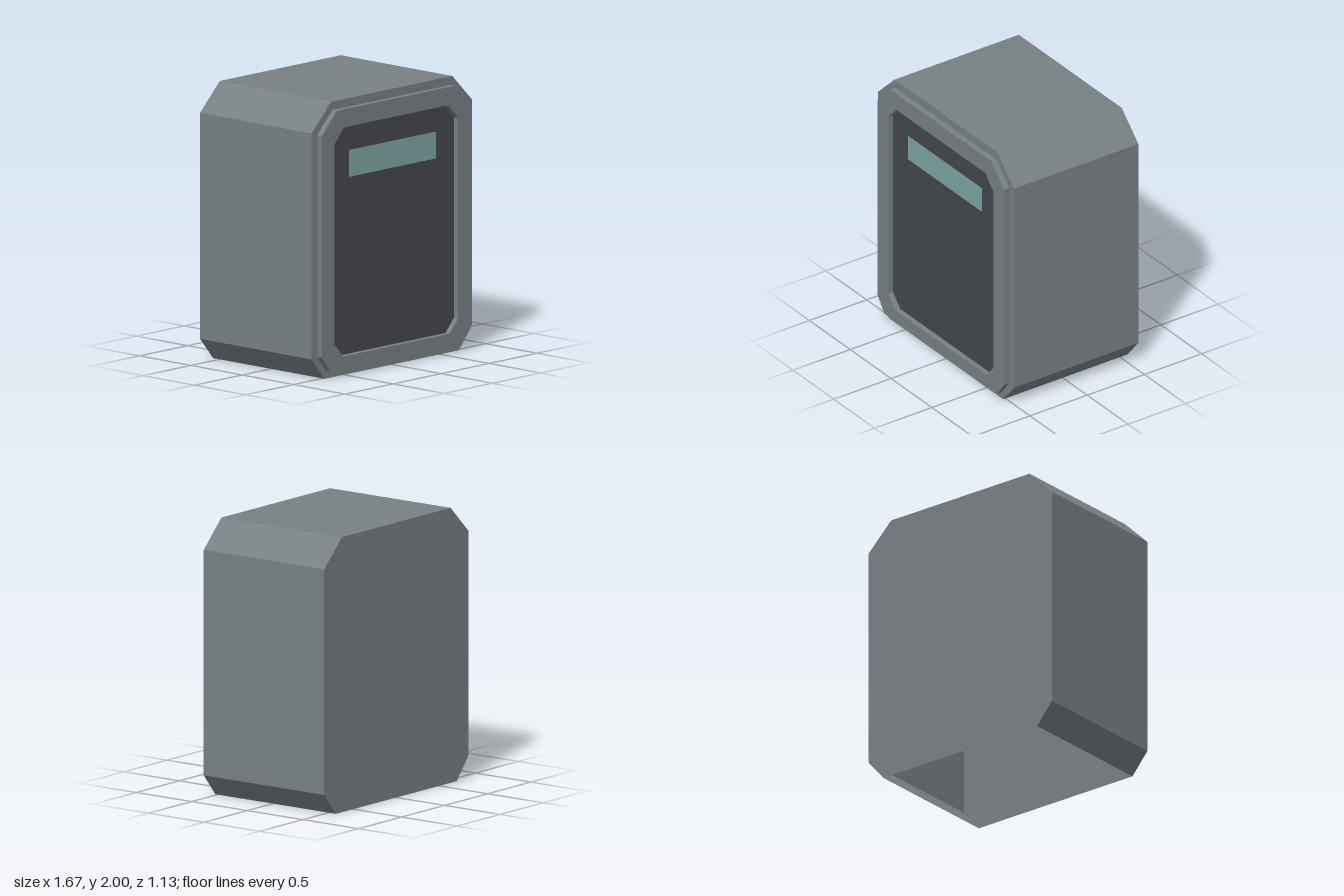
import * as THREE from 'three';

const casing = new THREE.MeshStandardMaterial({ color: 0x788083, side: THREE.DoubleSide });
casing.name = 'casing grey';
const dark = new THREE.MeshStandardMaterial({ color: 0x44484b });
dark.name = 'panel charcoal';
const teal = new THREE.MeshStandardMaterial({ color: 0x7ca4a3 });
teal.name = 'display teal';

// Mirrored octagon, counter-clockwise, starting with the bottom edge
function octagon(half, bottomHalf, topHalf, y0, y1, y2, y3) {
  const right = [[bottomHalf, y0], [half, y1], [half, y2], [topHalf, y3]];
  const left = right.map(([x, y]) => [-x, y]).reverse();
  return [...right, ...left].map(([x, y]) => new THREE.Vector2(x, y));
}

// Flat-shaded side walls along an open outline
function walls(points, zBack, zFront) {
  const pos = [];
  for (let i = 0; i < points.length - 1; i++) {
    const a = points[i], b = points[i + 1];
    pos.push(a.x, a.y, zFront, a.x, a.y, zBack, b.x, b.y, zBack);
    pos.push(a.x, a.y, zFront, b.x, b.y, zBack, b.x, b.y, zFront);
  }
  const geo = new THREE.BufferGeometry();
  geo.setAttribute('position', new THREE.Float32BufferAttribute(pos, 3));
  geo.computeVertexNormals();
  return geo;
}

export function createModel() {
  const group = new THREE.Group();
  const add = (parent, name, geo, mat, z = 0) => {
    const mesh = new THREE.Mesh(geo, mat);
    mesh.name = name;
    mesh.position.z = z;
    parent.add(mesh);
    return mesh;
  };
  const BACK = -0.565, FACE = 0.52, FRONT = 0.565;

  // Hollow casing, open underneath
  const outline = octagon(0.835, 0.7, 0.63, 0, 0.16, 1.8, 2);
  const body = new THREE.Group();
  body.name = 'casing';
  group.add(body);
  add(body, 'casingWalls', walls(outline, BACK, FACE), casing);
  add(body, 'casingFront', new THREE.ShapeGeometry(new THREE.Shape(outline)), casing, FACE);
  add(body, 'casingBack', new THREE.ShapeGeometry(new THREE.Shape(outline)), casing, BACK).rotation.y = Math.PI;

  // Raised frame around the recessed panel
  const panelOutline = octagon(0.643, 0.555, 0.545, 0.147, 0.245, 1.7, 1.807);
  const frame = new THREE.Shape(octagon(0.775, 0.69, 0.62, 0.057, 0.17, 1.78, 1.938));
  frame.holes.push(new THREE.Path(panelOutline));
  add(group, 'frontFrame',
    new THREE.ExtrudeGeometry(frame, { depth: FRONT - FACE, bevelEnabled: false }), casing, FACE);

  // Recessed panel and its display strip
  add(group, 'frontPanel', new THREE.ShapeGeometry(new THREE.Shape(panelOutline)), dark, FACE + 0.004);
  const display = add(group, 'display', new THREE.PlaneGeometry(0.905, 0.195), teal, FACE + 0.008);
  display.position.y = 1.527;

  return group;
}
